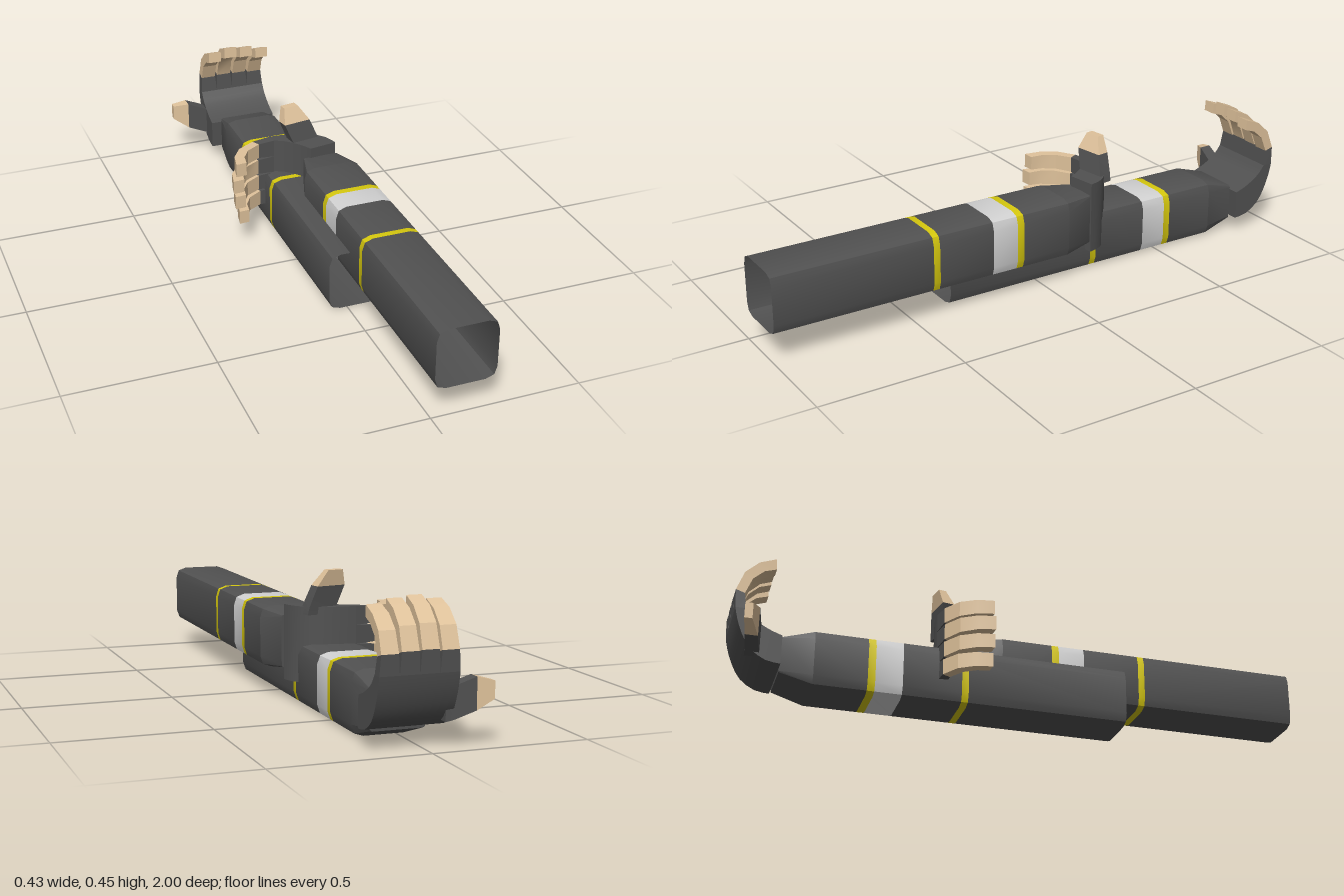
import * as THREE from 'three';
import { toCreasedNormals } from 'three/addons/utils/BufferGeometryUtils.js';

const paint = (name, color) =>
  new THREE.MeshStandardMaterial({ name, color, side: THREE.DoubleSide });

// Joins equal-length rings of [x, y, z] points into a skin, with optional end caps
function loft(rings, capStart = true, capEnd = true) {
  const n = rings[0].length, last = (rings.length - 1) * n, index = [];
  for (let k = 0; k < rings.length - 1; k++) {
    for (let i = 0; i < n; i++) {
      const j = (i + 1) % n, a = k * n + i, b = k * n + j;
      index.push(a, a + n, b, b, a + n, b + n);
    }
  }
  for (let i = 1; i < n - 1; i++) {
    if (capStart) index.push(0, i, i + 1);
    if (capEnd) index.push(last, last + i + 1, last + i);
  }
  const g = new THREE.BufferGeometry();
  g.setAttribute('position', new THREE.Float32BufferAttribute(rings.flat(2), 3));
  g.setIndex(index);
  return toCreasedNormals(g, 0.45);
}

function add(parent, name, geometry, material) {
  const mesh = new THREE.Mesh(geometry, material);
  mesh.name = name;
  parent.add(mesh);
}

// Twelve-sided ring mirrored from one quarter
function sleeveRing(quarter, z) {
  const back = [...quarter].reverse();
  return [[1, 1, quarter], [-1, 1, back], [-1, -1, quarter], [1, -1, back]]
    .flatMap(([sx, sy, q]) => q.map(([x, y]) => [x * sx, y * sy, z]));
}

// Four-cornered section across x, between an inner and an outer [y, z] point
const slab = (x0, x1, inner, outer) =>
  [[x1, ...outer], [x1, ...inner], [x0, ...inner], [x0, ...outer]];

const smooth = (pts, n) =>
  new THREE.SplineCurve(pts.map(p => new THREE.Vector2(...p))).getPoints(n).map(p => [p.x, p.y]);

function buildHand(glove, skin) {
  const hand = new THREE.Group();
  hand.name = 'hand';

  // Palm: a curved wedge, thick at the wrist
  const outer = smooth([[-0.05, 0], [-0.043, -0.05], [-0.01, -0.1], [0.04, -0.13], [0.09, -0.148], [0.13, -0.157]], 10);
  const inner = smooth([[0.05, 0], [0.062, -0.035], [0.08, -0.07], [0.1, -0.098], [0.118, -0.113], [0.13, -0.122]], 10);
  add(hand, 'palm', loft(outer.map((o, i) => slab(-0.125, 0.125, inner[i], o))), glove);

  // Fingers: [inner, outer, half width] along the curl
  const curl = [
    [[0.13, -0.122], [0.13, -0.157], 0.031],
    [[0.19, -0.13], [0.2, -0.16], 0.027],
    [[0.25, -0.108], [0.272, -0.135], 0.026],
    [[0.285, -0.072], [0.317, -0.09], 0.025],
    [[0.299, -0.033], [0.339, -0.036], 0.024],
  ];
  [0.94, 1, 0.97, 0.9].forEach((reach, i) => {
    const x = -0.0938 + i * 0.0625;
    const stretch = ([y, z]) => [0.13 + (y - 0.13) * reach, z];
    const rings = curl.map(([a, b, w]) => slab(x - w, x + w, stretch(a), stretch(b)));
    add(hand, 'fingerGlove', loft(rings.slice(0, 2)), glove);
    add(hand, 'fingerSkin', loft(rings.slice(1)), skin);
  });

  // Thumb: [x, low y, high y, back z, front z]
  const thumb = [
    [-0.1, -0.025, 0.075, -0.115, -0.065],
    [-0.125, -0.02, 0.08, -0.117, -0.07],
    [-0.193, 0.005, 0.105, -0.127, -0.085],
    [-0.245, 0.038, 0.092, -0.138, -0.112],
  ].map(([x, y0, y1, z0, z1]) => [[x, y1, z0], [x, y1, z1], [x, y0, z1], [x, y0, z0]]);
  add(hand, 'thumbGlove', loft(thumb.slice(0, 3)), glove);
  add(hand, 'thumbSkin', loft(thumb.slice(2)), skin);
  return hand;
}

function buildArm(name, m) {
  const arm = new THREE.Group();
  arm.name = name;
  const full = [[0.103, 0.065], [0.093, 0.093], [0.065, 0.102]];
  const wrist = [[0.087, 0.058], [0.085, 0.062], [0.08, 0.064]];

  // Sleeve tube, cut into coloured bands from the open end to the wrist
  const bands = [
    ['upperSleeve', 1.185, 0.628, m.cloth],
    ['thinStripe', 0.628, 0.605, m.yellow],
    ['middleSleeve', 0.605, 0.405, m.cloth],
    ['reflectiveBand', 0.405, 0.313, m.silver],
    ['bandTrim', 0.313, 0.288, m.yellow],
    ['lowerSleeve', 0.288, 0.11, m.cloth],
  ];
  for (const [label, z0, z1, mat] of bands) {
    add(arm, label, loft([sleeveRing(full, z0), sleeveRing(full, z1)], false, false), mat);
  }
  add(arm, 'cuff', loft([sleeveRing(full, 0.11), sleeveRing(wrist, 0)], false, true), m.cloth);

  const hand = buildHand(m.cloth, m.skin);
  arm.add(hand);
  return { arm, hand };
}

export function createModel() {
  const model = new THREE.Group();
  model.name = 'glovedArms';
  const m = {
    cloth: paint('darkCloth', 0x515151),
    silver: paint('reflectiveSilver', 0xd2d2d2),
    yellow: paint('safetyYellow', 0xd6c80e),
    skin: paint('skin', 0xdfc29b),
  };

  const low = buildArm('lowerArm', m);
  low.arm.position.set(0.04, 0.104, -0.84);

  // The other arm is mirrored, rolled a quarter turn, and bent a little at the wrist
  const high = buildArm('upperArm', m);
  high.arm.position.set(0.111, 0.203, -0.185);
  high.arm.rotation.z = Math.PI / 2;
  high.arm.scale.x = -1;
  high.hand.rotation.x = 0.17;
  high.hand.position.y = -0.01;

  model.add(low.arm, high.arm);
  return model;
}
